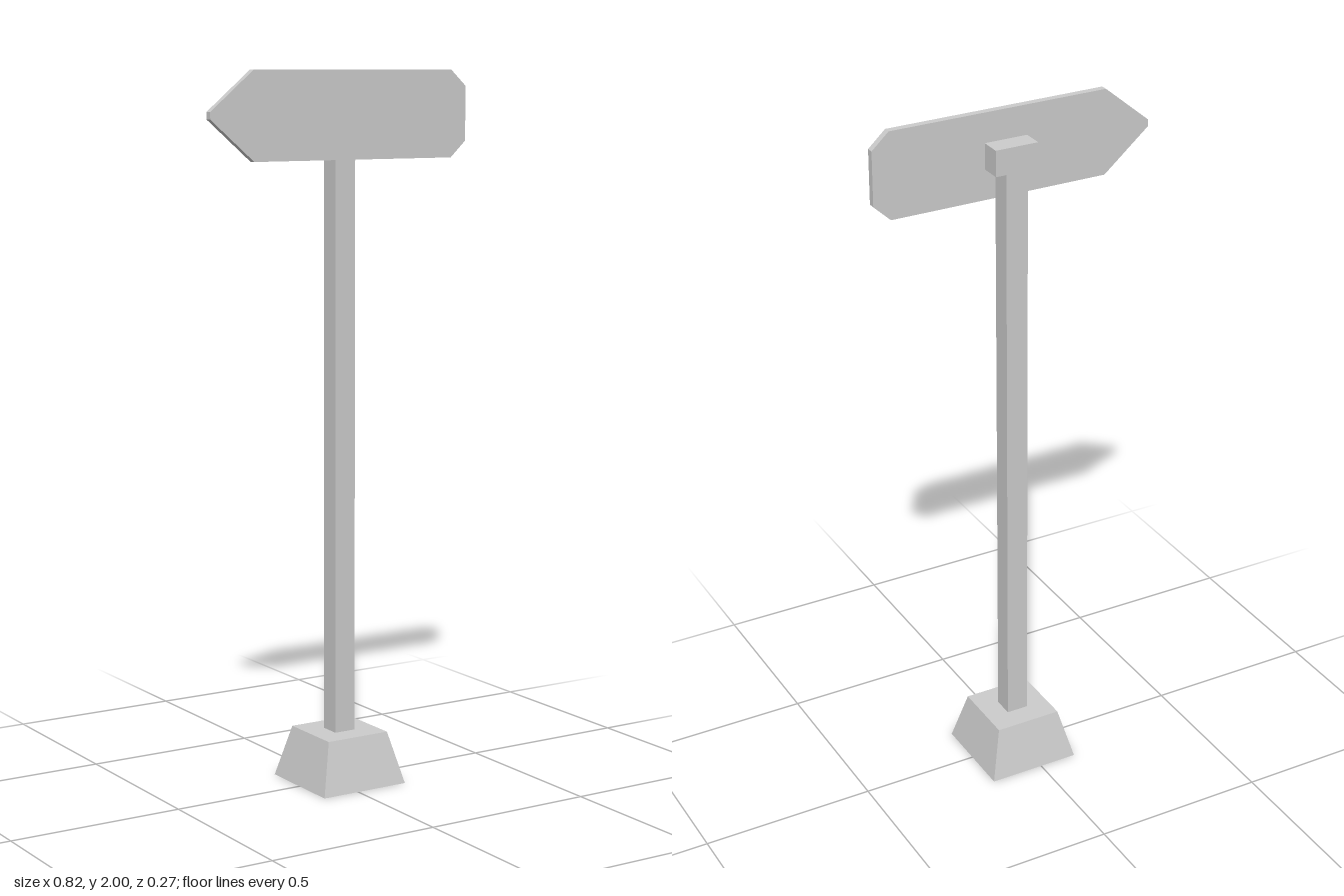
import * as THREE from 'three';

const grey = new THREE.MeshStandardMaterial({ color: 0xcccccc, flatShading: true });
const greyThin = new THREE.MeshStandardMaterial({ color: 0xcccccc, flatShading: true, side: THREE.DoubleSide });

const POST_X = 0.023; // the post stands slightly off the board's middle
const BASE_H = 0.147;

function add(group, name, geometry, x, y, z, material = grey) {
  const mesh = new THREE.Mesh(geometry, material);
  mesh.name = name;
  mesh.position.set(x, y, z);
  group.add(mesh);
}

// Hollow tapered foot: a box narrowed at the top, with its underside removed
function footGeometry(bottom, top, height) {
  const geo = new THREE.BoxGeometry(bottom, height, bottom);
  const pos = geo.attributes.position;
  for (let i = 0; i < pos.count; i++) {
    if (pos.getY(i) > 0) {
      pos.setX(i, Math.sign(pos.getX(i)) * top / 2);
      pos.setZ(i, Math.sign(pos.getZ(i)) * top / 2);
    }
  }
  const underside = geo.groups[3];
  const index = Array.from(geo.index.array);
  index.splice(underside.start, underside.count);
  geo.setIndex(index);
  geo.clearGroups();
  geo.computeVertexNormals();
  return geo;
}

// Arrow-shaped board, blunt tip on one end and clipped corners on the other
function boardGeometry(depth) {
  const outline = [
    [-0.41, 1.87], [-0.277, 1.757], [0.36, 1.757], [0.409, 1.803],
    [0.409, 1.955], [0.36, 2], [-0.277, 2], [-0.41, 1.89],
  ].map(([x, y]) => new THREE.Vector2(x, y));
  return new THREE.ExtrudeGeometry(new THREE.Shape(outline), { depth, bevelEnabled: false });
}

export function createModel() {
  const group = new THREE.Group();
  group.name = 'signpost';

  add(group, 'foot', footGeometry(0.269, 0.195, BASE_H), POST_X, BASE_H / 2, -0.001, greyThin);

  // Square post with a wider bracket block on top
  const postTop = 1.843, bracketTop = 1.916;
  add(group, 'post', new THREE.BoxGeometry(0.064, postTop - BASE_H, 0.06),
    POST_X, (postTop + BASE_H) / 2, -0.002);
  add(group, 'bracket', new THREE.BoxGeometry(0.125, bracketTop - postTop, 0.06),
    POST_X, (bracketTop + postTop) / 2, -0.002);

  add(group, 'signBoard', boardGeometry(0.02), 0, 0, 0.028);
  return group;
}
